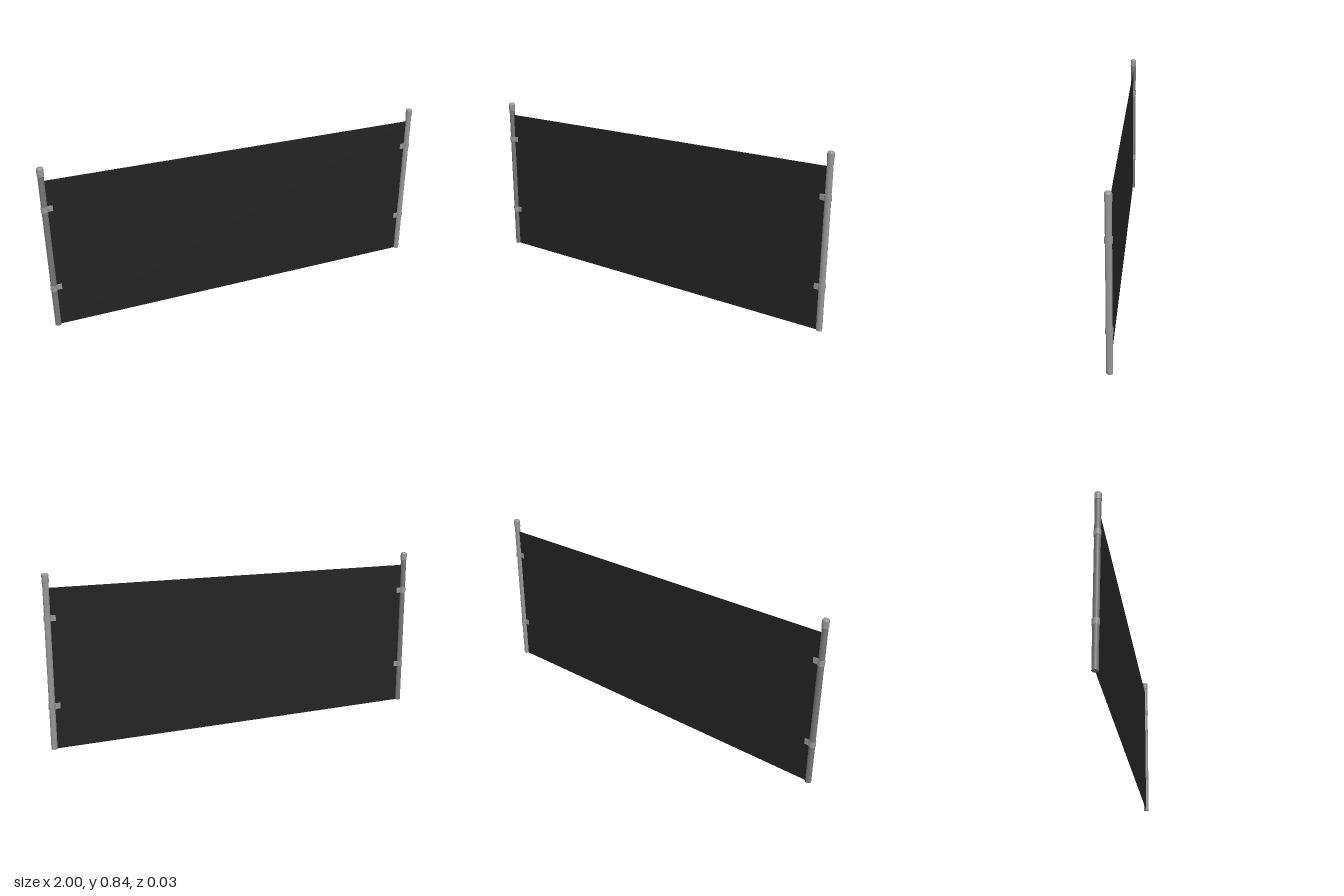
import * as THREE from 'three';

export function createModel() {
  const root = new THREE.Group();
  root.name = 'fencePanel';
  const mat = (name, color, side = THREE.FrontSide) => {
    const m = new THREE.MeshStandardMaterial({ color, side });
    m.name = name;
    return m;
  };
  const steel = mat('grey steel', 0x969696);
  const darkSteel = mat('dark grey steel', 0x767676);
  const mesh = mat('black fabric', 0x222222, THREE.DoubleSide);

  const add = (parent, name, geometry, material, x, y, z = 0) => {
    const m = new THREE.Mesh(geometry, material);
    m.name = name;
    m.position.set(x, y, z);
    parent.add(m);
    return m;
  };

  // Thin sheet stretched between the posts
  add(root, 'panel', new THREE.PlaneGeometry(1.95, 0.775), mesh, 0, 0.3875);

  // Cap profile: straight skirt, rounded shoulder, flat top
  const capProfile = [
    [0, 0], [0.0165, 0], [0.0165, 0], [0.0165, 0.031], [0.0155, 0.036],
    [0.0125, 0.04], [0.009, 0.0415], [0, 0.042],
  ].map(([r, y]) => new THREE.Vector2(r, y));

  for (const side of [-1, 1]) {
    const post = new THREE.Group();
    post.name = side > 0 ? 'leftPost' : 'rightPost';
    post.position.x = side * 0.983;
    root.add(post);

    add(post, 'pole', new THREE.CylinderGeometry(0.0145, 0.0145, 0.805, 20),
      side > 0 ? steel : darkSteel, 0, 0.4025);
    add(post, 'cap', new THREE.LatheGeometry(capProfile, 20), steel, 0, 0.802);

    // Clamps: a collar round the pole and two jaws gripping the sheet
    for (const y of [0.212, 0.634]) {
      const clamp = new THREE.Group();
      clamp.name = 'clamp';
      clamp.position.y = y;
      post.add(clamp);
      add(clamp, 'collar', new THREE.CylinderGeometry(0.017, 0.017, 0.028, 20), steel, 0, 0);
      for (const z of [-0.003, 0.003]) {
        add(clamp, 'jaw', new THREE.BoxGeometry(0.026, 0.028, 0.004), steel, -side * 0.025, 0, z);
      }
    }
  }
  return root;
}
